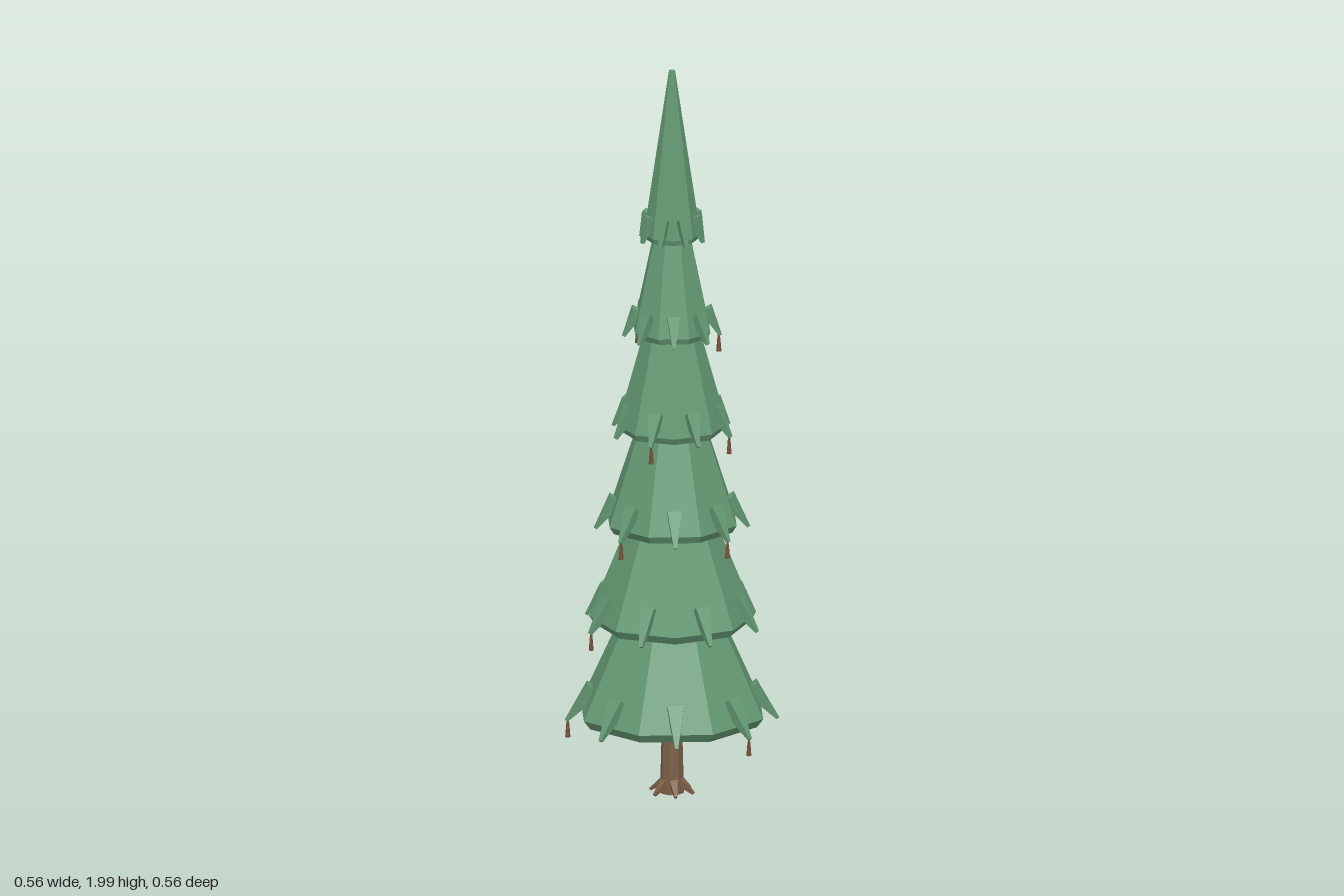
import * as THREE from 'three';

const SIDES = 8;
const STEP = (Math.PI * 2) / SIDES;
const rad = THREE.MathUtils.degToRad;

const material = (color) => new THREE.MeshStandardMaterial({ color, flatShading: true });

function add(parent, name, geometry, mat) {
  const mesh = new THREE.Mesh(geometry, mat);
  mesh.name = name;
  parent.add(mesh);
  return mesh;
}

// Tapered bar from a to b, both given as [distance from trunk axis, height]
function taper(parent, name, a, b, ra, rb, sides, mat) {
  const dr = b[0] - a[0], dy = b[1] - a[1];
  const geo = new THREE.CylinderGeometry(rb, ra, Math.hypot(dr, dy), sides, 1, false, Math.PI / sides);
  const mesh = add(parent, name, geo, mat);
  mesh.position.set((a[0] + b[0]) / 2, (a[1] + b[1]) / 2, 0);
  mesh.rotation.z = Math.atan2(-dr, dy);
  return mesh;
}

// Group whose +x axis points outward at the given angle (from +x towards +z)
function spoke(parent, name, angle) {
  const group = new THREE.Group();
  group.name = name;
  group.rotation.y = -angle;
  parent.add(group);
  return group;
}

// Foliage tiers: rim height and radius, top height and radius,
// twig base and tip distances, twig height, twigs that carry a cone
const TIERS = [
  { y: 0.21, r: 0.257, top: 0.52, rTop: 0.125, base: 0.207, tip: 0.28, h: 0.09, cones: [0, 3, 6] },
  { y: 0.475, r: 0.22, top: 0.78, rTop: 0.105, base: 0.178, tip: 0.24, h: 0.086, cones: [3, 6] },
  { y: 0.74, r: 0.182, top: 1.05, rTop: 0.085, base: 0.148, tip: 0.203, h: 0.082, cones: [0, 2, 5] },
  { y: 1.005, r: 0.145, top: 1.31, rTop: 0.066, base: 0.118, tip: 0.165, h: 0.078, cones: [0, 2, 5] },
  { y: 1.27, r: 0.108, top: 1.57, rTop: 0.046, base: 0.09, tip: 0.128, h: 0.074, cones: [4, 7] },
  { y: 1.535, r: 0.075, top: 2.0, rTop: 0.008, base: 0.064, tip: 0.087, h: 0.07, cones: [] },
];

export function createModel() {
  const tree = new THREE.Group();
  tree.name = 'firTree';
  const green = material(0x659a74);
  const bark = material(0x7d6048);
  const coneBrown = material(0x79503a);

  // Trunk with spreading roots
  const trunk = add(tree, 'trunk', new THREE.CylinderGeometry(0.026, 0.032, 0.24, 8), bark);
  trunk.position.y = 0.13;
  for (let i = 0; i < 6; i++) {
    const root = spoke(tree, 'root', (i * Math.PI) / 3 + 0.2);
    taper(root, 'rootSpur', [0.018, 0.045], [0.061, 0.012], 0.016, 0.005, 4, bark);
  }

  TIERS.forEach((t, i) => {
    const tier = new THREE.Group();
    tier.name = 'tier' + (i + 1);
    tree.add(tier);

    // Faceted skirt with an undercut rim, every other tier turned half a side
    const profile = [
      [0, t.y], [t.r * 0.93, t.y], [t.r, t.y + 0.024 - i * 0.002], [t.rTop, t.top], [0, t.top],
    ].map(([x, y]) => new THREE.Vector2(x, y));
    const phase = rad(i % 2 ? 33.75 : 11.25);
    const skirt = add(tier, 'foliage', new THREE.LatheGeometry(profile, SIDES), green);
    skirt.rotation.y = -phase;

    // Drooping twigs on the middle of each face
    const twigPhase = rad(i % 2 ? 11.25 : 33.75);
    for (let k = 0; k < SIDES; k++) {
      const arm = spoke(tier, 'branch', twigPhase + k * STEP);
      const tipY = t.y - 0.002;
      const size = 0.031 - i * 0.0018;
      taper(arm, 'twig', [t.base, tipY + t.h], [t.tip, tipY], size, 0.006, 4, green);

      // Hanging cone on a short stalk
      if (t.cones.includes(k)) {
        const x = t.tip - 0.004;
        taper(arm, 'coneStalk', [x, tipY + 0.008], [x, tipY - 0.02], 0.003, 0.003, 5, coneBrown);
        taper(arm, 'cone', [x, tipY - 0.008], [x, tipY - 0.045], 0.004, 0.007, 6, coneBrown);
      }
    }
  });

  // Rest the root tips on the ground
  const box = new THREE.Box3().setFromObject(tree);
  tree.children.forEach((c) => { if (c.name === 'root') c.position.y -= box.min.y; });
  trunk.position.y -= box.min.y;
  return tree;
}
